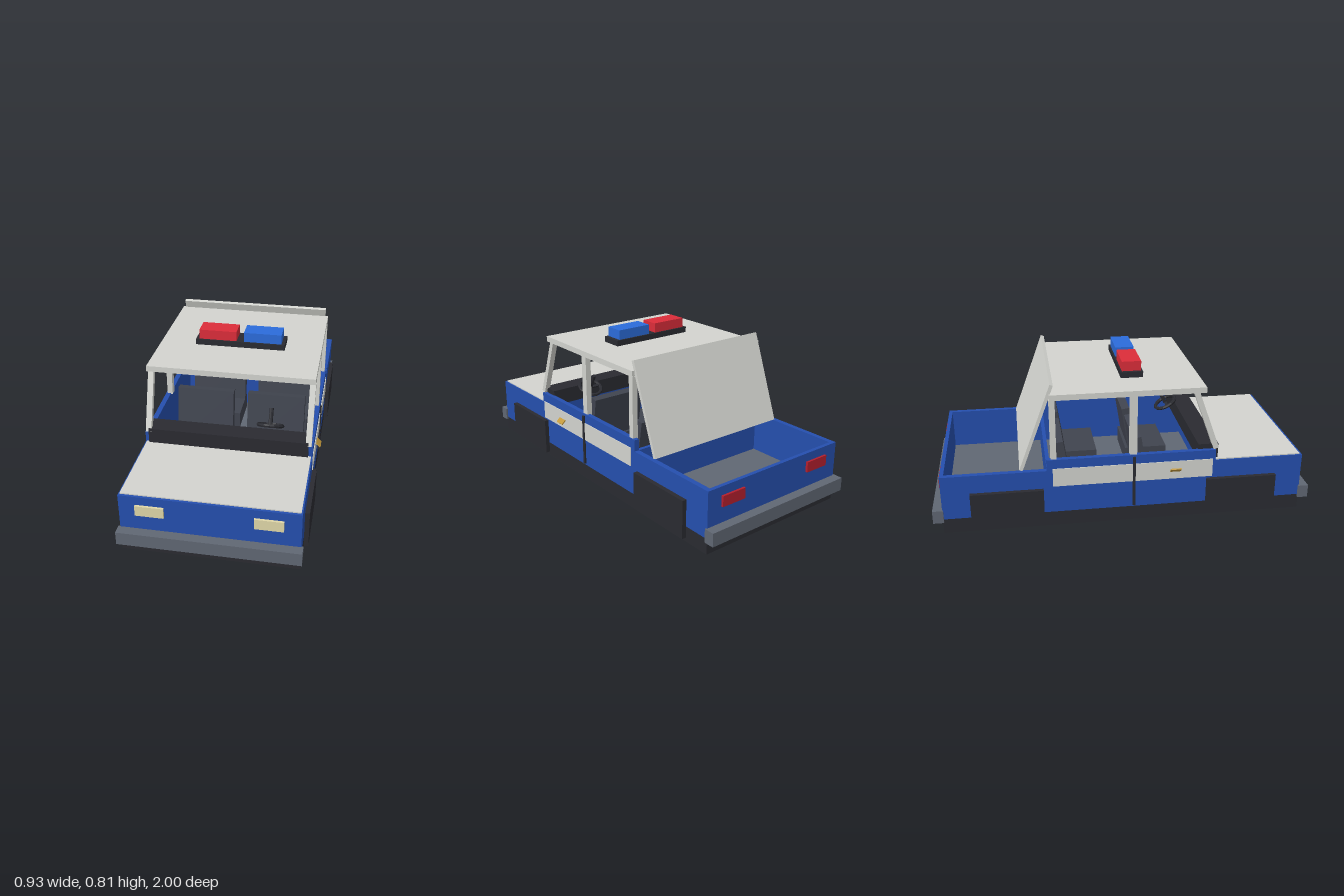
import * as THREE from 'three';

const COLORS = {
  blue: 0x254fae, dark: 0x2a2b31, steel: 0x606773, white: 0xd3d4cf, seat: 0x40444f,
  red: 0xdc2d3a, beacon: 0x2c6cdb, lamp: 0xe0d7a8, tail: 0xb51f2e, gold: 0xc49a3c,
};
const mats = {};
for (const key in COLORS) mats[key] = new THREE.MeshStandardMaterial({ color: COLORS[key], flatShading: true });

export function createModel() {
  const car = new THREE.Group();
  car.name = 'patrolCar';

  const add = (name, geometry, mat) => {
    const mesh = new THREE.Mesh(geometry, mats[mat]);
    mesh.name = name;
    car.add(mesh);
    return mesh;
  };
  // Box given by its limits on each axis
  const box = (name, mat, [x0, x1], [y0, y1], [z0, z1]) => {
    const mesh = add(name, new THREE.BoxGeometry(x1 - x0, y1 - y0, z1 - z0), mat);
    mesh.position.set((x0 + x1) / 2, (y0 + y1) / 2, (z0 + z1) / 2);
    return mesh;
  };
  // Same box on both sides of the car
  const pair = (name, mat, [x0, x1], y, z) => {
    box(name + 'Left', mat, [x0, x1], y, z);
    box(name + 'Right', mat, [-x1, -x0], y, z);
  };
  // Slanted slab running in the y-z plane from [y, z] to [y, z]
  const slab = (name, mat, x, width, thick, [y0, z0], [y1, z1]) => {
    const mesh = add(name, new THREE.BoxGeometry(width, Math.hypot(y1 - y0, z1 - z0), thick), mat);
    mesh.position.set(x, (y0 + y1) / 2, (z0 + z1) / 2);
    mesh.rotation.x = Math.atan2(z1 - z0, y1 - y0);
    return mesh;
  };

  // Lower body
  box('chassis', 'dark', [-0.437, 0.437], [0, 0.08], [-0.95, 0.95]);
  box('floor', 'steel', [-0.41, 0.41], [0.08, 0.1], [-0.93, 0.48]);
  box('engineBay', 'blue', [-0.437, 0.437], [0.08, 0.32], [0.475, 0.95]);
  box('hood', 'white', [-0.43, 0.43], [0.32, 0.326], [0.48, 0.937]);
  pair('cabinSide', 'blue', [0.41, 0.437], [0.08, 0.38], [-0.41, 0.475]);
  pair('trunkSide', 'blue', [0.41, 0.437], [0.08, 0.32], [-0.95, -0.41]);
  box('trunkRear', 'blue', [-0.41, 0.41], [0.08, 0.32], [-0.95, -0.93]);
  box('bulkhead', 'blue', [-0.41, 0.41], [0.1, 0.32], [-0.41, -0.39]);

  // Side trim and wheel panels
  pair('doorStripe', 'white', [0.436, 0.441], [0.23, 0.33], [-0.38, 0.46]);
  pair('doorSeam', 'dark', [0.436, 0.446], [0.09, 0.37], [0.035, 0.049]);
  pair('frontWheel', 'dark', [0.436, 0.46], [0.02, 0.22], [0.43, 0.805]);
  pair('rearWheel', 'dark', [0.436, 0.46], [0.02, 0.22], [-0.805, -0.43]);
  for (const [side, x, y] of [['Left', 0.452, 0.272], ['Right', -0.454, 0.286]]) {
    const handle = add('doorHandle' + side, new THREE.BoxGeometry(0.031, 0.007, 0.056), 'gold');
    handle.position.set(x, y, 0.26);
    handle.rotation.z = -Math.PI / 4;
  }

  // Bumpers and lamps
  box('frontBumper', 'steel', [-0.447, 0.447], [0.065, 0.135], [0.945, 1]);
  box('rearBumper', 'steel', [-0.447, 0.447], [0.065, 0.135], [-1, -0.945]);
  pair('headlight', 'lamp', [0.215, 0.355], [0.22, 0.275], [0.945, 0.962]);
  pair('taillight', 'tail', [0.215, 0.355], [0.22, 0.275], [-0.962, -0.945]);

  // Cabin: dashboard, seats, steering wheel
  box('dashboard', 'dark', [-0.415, 0.415], [0.32, 0.407], [0.385, 0.491]);
  for (const side of [-1, 1]) {
    for (const [row, z] of [['front', 0.07], ['rear', -0.34]]) {
      const x = 0.198 * side;
      box(row + 'SeatCushion', 'seat', [x - 0.158, x + 0.158], [0.1, 0.19], [z, z + 0.24]);
      slab(row + 'SeatBack', 'seat', x, 0.316, 0.045, [0.12, z + 0.05], [0.438, z]);
    }
  }
  const wheel = new THREE.Group();
  wheel.name = 'steeringWheel';
  const rim = new THREE.Mesh(new THREE.TorusGeometry(0.064, 0.01, 6, 16), mats.dark);
  rim.name = 'steeringRim';
  const spoke = new THREE.Mesh(new THREE.BoxGeometry(0.12, 0.016, 0.01), mats.dark);
  spoke.name = 'steeringSpoke';
  const column = new THREE.Mesh(new THREE.CylinderGeometry(0.011, 0.011, 0.09, 8), mats.dark);
  column.name = 'steeringColumn';
  column.rotation.x = Math.PI / 2;
  column.position.z = -0.045;
  wheel.add(rim, spoke, column);
  wheel.position.set(0.2, 0.399, 0.335);
  wheel.rotation.x = -Math.PI / 2 - 0.48 + Math.PI * 0.0;
  wheel.rotation.y = Math.PI;
  car.add(wheel);

  // Roof, pillars and raised rear lid
  box('roof', 'white', [-0.43, 0.43], [0.7, 0.73], [-0.385, 0.412]);
  pair('middlePillar', 'white', [0.4, 0.43], [0.375, 0.702], [0.02, 0.058]);
  pair('rearPillar', 'white', [0.4, 0.43], [0.375, 0.702], [-0.388, -0.358]);
  for (const x of [0.415, -0.415]) slab('frontPillar', 'white', x, 0.03, 0.028, [0.385, 0.478], [0.708, 0.36]);
  slab('rearLid', 'white', 0, 0.83, 0.018, [0.32, -0.54], [0.777, -0.371]);

  // Light bar
  box('lightBarBase', 'dark', [-0.238, 0.238], [0.73, 0.761], [0, 0.118]);
  box('redBeacon', 'red', [-0.22, -0.02], [0.761, 0.813], [0.008, 0.11]);
  box('blueBeacon', 'beacon', [0.02, 0.22], [0.761, 0.813], [0.008, 0.11]);

  return car;
}
